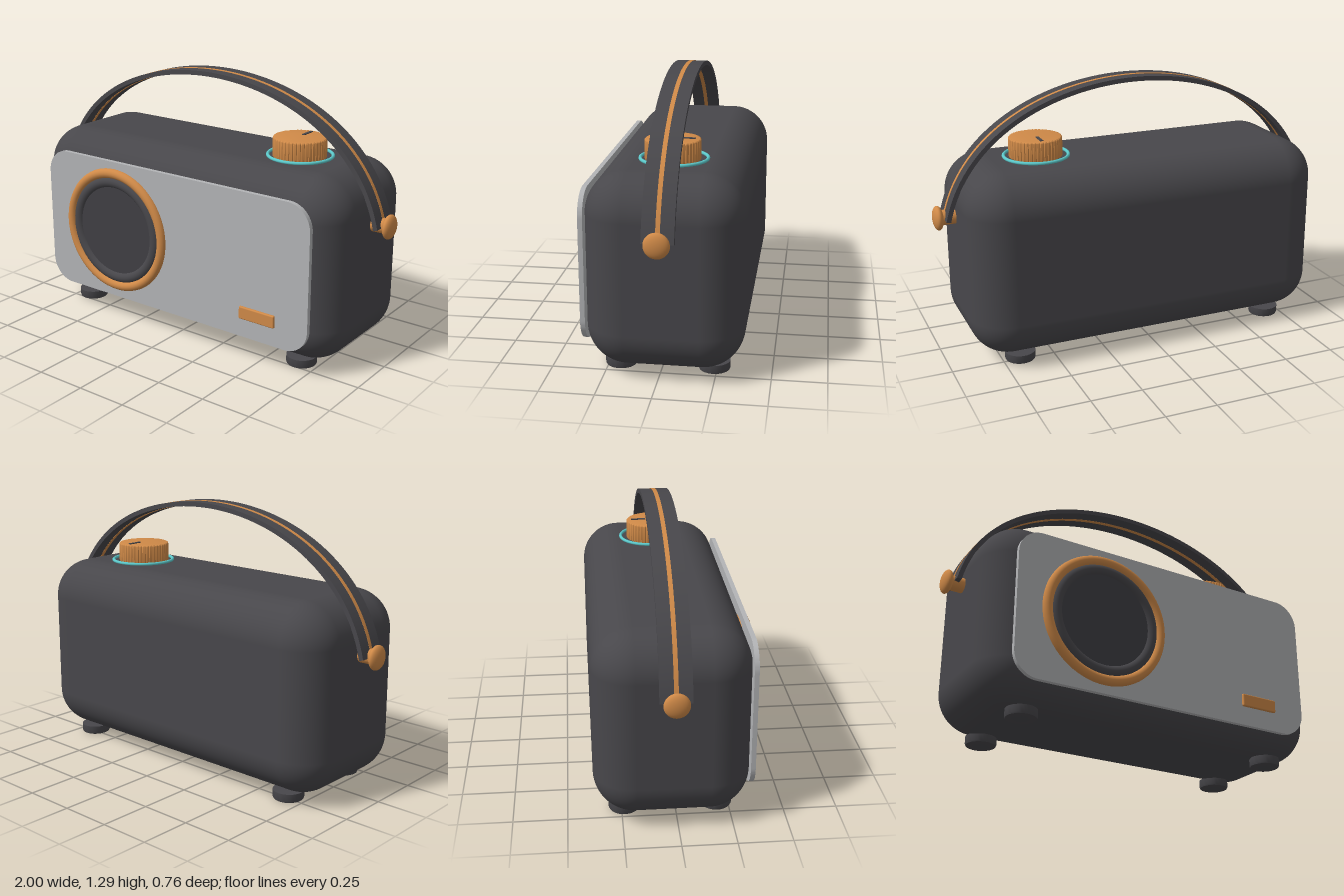
import * as THREE from 'three';
import { toCreasedNormals } from 'three/addons/utils/BufferGeometryUtils.js';
import { RoundedBoxGeometry } from 'three/addons/geometries/RoundedBoxGeometry.js';

const MID_Z = -0.022; // centre of the cabinet in depth

const material = (name, color) => {
  const m = new THREE.MeshStandardMaterial({ color });
  m.name = name;
  return m;
};

function roundedRect(w, h, r) {
  const s = new THREE.Shape();
  const x = w / 2, y = h / 2;
  s.absarc(x - r, y - r, r, 0, Math.PI / 2);
  s.absarc(-x + r, y - r, r, Math.PI / 2, Math.PI);
  s.absarc(-x + r, -y + r, r, Math.PI, Math.PI * 1.5);
  s.absarc(x - r, -y + r, r, Math.PI * 1.5, Math.PI * 2);
  s.closePath();
  return s;
}

// Band that follows the handle arc between two offsets from its centre line
function archBand(outer, inner, width) {
  const arc = new THREE.CubicBezierCurve(
    new THREE.Vector2(0.94, 0.68), new THREE.Vector2(0.76, 1.473),
    new THREE.Vector2(-0.76, 1.473), new THREE.Vector2(-0.94, 0.68));
  const side = (offset) => arc.getSpacedPoints(72).map((p, i) => {
    const t = arc.getTangentAt(i / 72);
    return new THREE.Vector2(p.x + t.y * offset, p.y - t.x * offset);
  });
  const shape = new THREE.Shape([...side(outer), ...side(inner).reverse()]);
  const g = new THREE.ExtrudeGeometry(shape, { depth: width, bevelEnabled: false });
  g.translate(0, 0, MID_Z - width / 2);
  return toCreasedNormals(g, 0.5);
}

export function createModel() {
  const group = new THREE.Group();
  group.name = 'portableRadio';
  const charcoal = material('charcoal', 0x48474b);
  const coneGrey = material('dark cone', 0x403f44);
  const silver = material('silver', 0xb3b4b6);
  const copper = material('copper', 0xd08a48);
  const teal = material('teal', 0x5cc8ca);

  const add = (name, geometry, mat, x = 0, y = 0, z = 0) => {
    const mesh = new THREE.Mesh(geometry, mat);
    mesh.name = name;
    mesh.position.set(x, y, z);
    group.add(mesh);
    return mesh;
  };

  // Cabinet
  add('cabinet', new RoundedBoxGeometry(1.79, 0.895, 0.715, 10, 0.19), charcoal, 0, 0.4875, MID_Z);

  // Front panel
  const panel = new THREE.ExtrudeGeometry(roundedRect(1.575, 0.715, 0.12),
    { depth: 0.022, bevelEnabled: false, curveSegments: 12 });
  add('frontPanel', toCreasedNormals(panel, 0.5), silver, 0, 0.4875, 0.334);

  // Speaker: trim ring, surround and cone
  const sx = -0.343, sy = 0.49;
  add('speakerTrim', new THREE.TorusGeometry(0.295, 0.025, 16, 72), copper, sx, sy, 0.355);
  add('speakerSurround', new THREE.TorusGeometry(0.25, 0.03, 16, 72), charcoal, sx, sy, 0.346);
  const cone = add('speakerCone', new THREE.CylinderGeometry(0.245, 0.245, 0.02, 64), coneGrey, sx, sy, 0.352);
  cone.rotation.x = Math.PI / 2;

  // Badge plate
  add('badge', new RoundedBoxGeometry(0.195, 0.062, 0.02, 3, 0.006), copper, 0.517, 0.255, 0.358);

  // Knurled knob with its light ring and pointer
  const kx = 0.49, teeth = 44;
  const rim = [];
  for (let i = 0; i < teeth * 4; i++) {
    const a = (i / (teeth * 4)) * Math.PI * 2;
    const r = i % 4 < 2 ? 0.116 : 0.12;
    rim.push(new THREE.Vector2(Math.cos(a) * r, Math.sin(a) * r));
  }
  const knob = new THREE.ExtrudeGeometry(new THREE.Shape(rim), {
    depth: 0.079, bevelEnabled: true, bevelThickness: 0.01, bevelSize: 0.008, bevelSegments: 3,
  });
  knob.rotateX(-Math.PI / 2);
  add('knob', toCreasedNormals(knob, 0.4), copper, kx, 0.941, MID_Z);
  add('knobPointer', new THREE.BoxGeometry(0.014, 0.008, 0.075), charcoal, kx, 1.03, MID_Z - 0.065);
  const ring = add('knobRing', new THREE.TorusGeometry(0.154, 0.008, 10, 64), teal, kx, 0.94, MID_Z - 0.006);
  ring.rotation.x = Math.PI / 2;

  // Handle strap with its centre stitch line
  add('handleStrap', archBand(0.011, -0.011, 0.142), charcoal);
  add('handleStitch', archBand(0.0122, -0.0122, 0.02), copper);

  // Handle pivots, mirrored left and right
  for (const s of [-1, 1]) {
    const pin = add('pivotPin', new THREE.CylinderGeometry(0.036, 0.036, 0.1, 32), copper, s * 0.925, 0.685, MID_Z);
    pin.rotation.z = Math.PI / 2;
    const cap = add('pivotCap', new THREE.SphereGeometry(0.058, 32, 20), copper, s * 0.975, 0.685, MID_Z);
    cap.scale.x = 0.43;
  }

  // Feet
  const footProfile = [[0, 0], [0.064, 0], [0.07, 0.003], [0.073, 0.01], [0.073, 0.044], [0, 0.044]]
    .map(([x, y]) => new THREE.Vector2(x, y));
  const foot = toCreasedNormals(new THREE.LatheGeometry(footProfile, 32), 0.7);
  for (const x of [-0.665, 0.665]) {
    for (const dz of [-0.215, 0.215]) add('foot', foot, charcoal, x, 0, MID_Z + dz);
  }

  return group;
}
